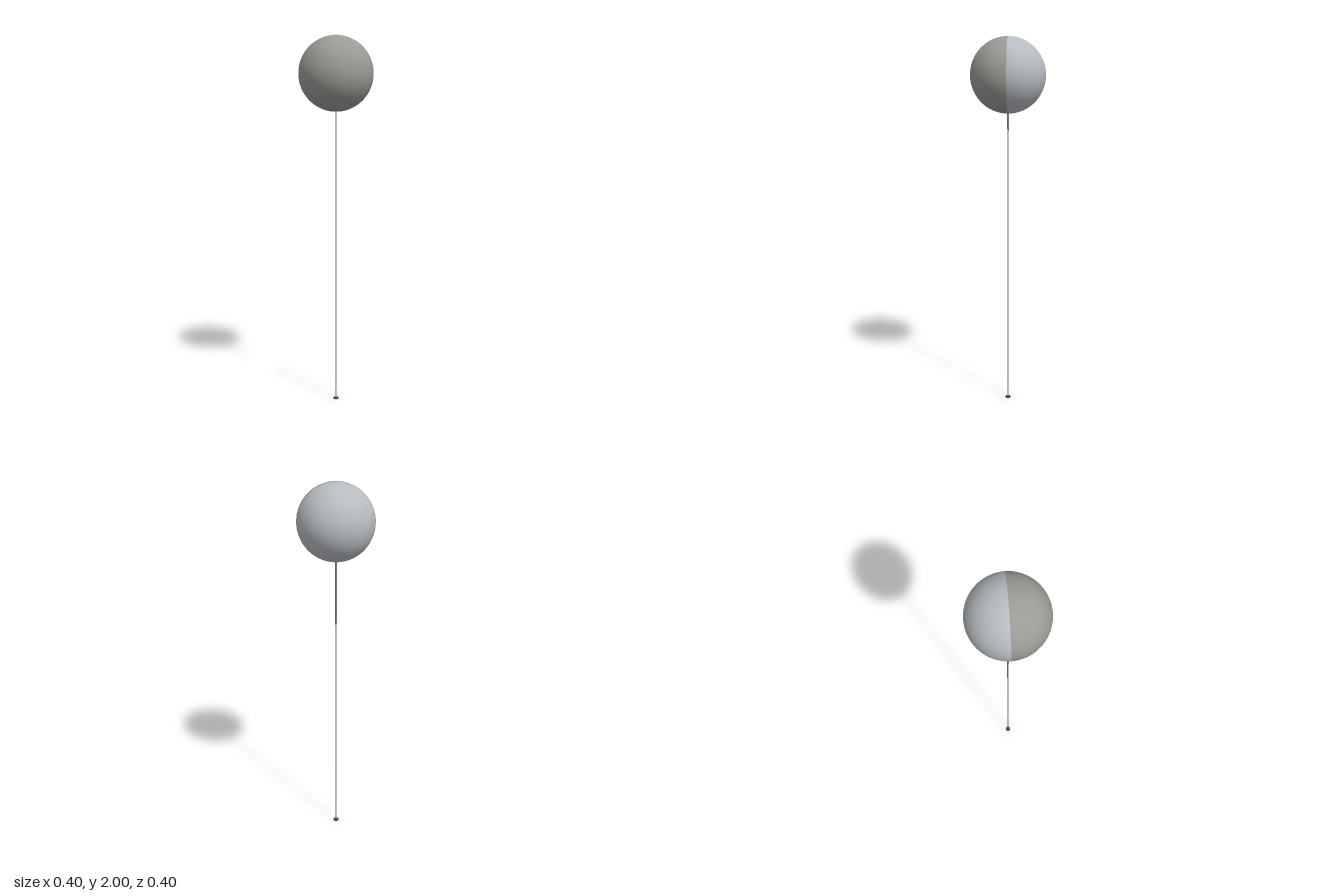
import * as THREE from 'three';

export function createModel() {
  const model = new THREE.Group();
  const add = (name, geometry, color, y) => {
    const material = new THREE.MeshStandardMaterial({ color, side: THREE.DoubleSide });
    const mesh = new THREE.Mesh(geometry, material);
    mesh.name = name;
    mesh.position.y = y;
    model.add(mesh);
  };

  // Two-tone ball: each half spans 180 degrees about the vertical axis
  const half = (start) => new THREE.SphereGeometry(0.2, 32, 32, start, Math.PI);
  add('ballFront', half(0), 0x9c9a96, 1.8);
  add('ballBack', half(Math.PI), 0xb8bcc0, 1.8);

  // Thin pole reaching just into the ball
  add('pole', new THREE.CylinderGeometry(0.004, 0.004, 1.605, 16), 0x808080, 0.8025);

  // Small foot disc
  add('foot', new THREE.CylinderGeometry(0.015, 0.015, 0.006, 24), 0x444444, 0.003);

  return model;
}
